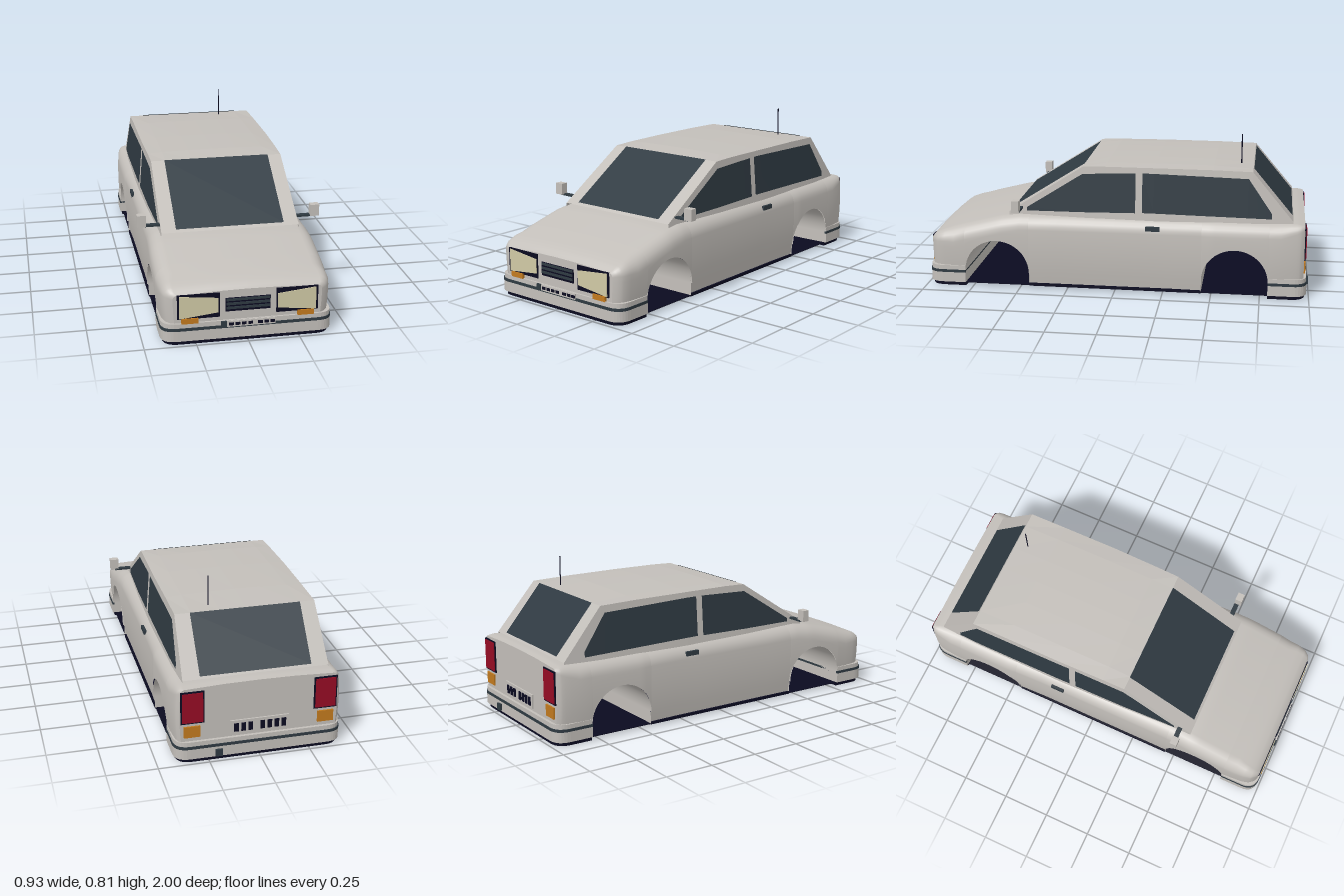
import * as THREE from 'three';

const material = (name, color, side = THREE.FrontSide) => {
  const m = new THREE.MeshStandardMaterial({ color, side });
  m.name = name;
  return m;
};

// Linear look-up in a short table of [z, value], z descending
function lookup(table, z) {
  if (z >= table[0][0]) return table[0][1];
  for (let i = 1; i < table.length; i++) {
    const [z0, a] = table[i - 1], [z1, b] = table[i];
    if (z >= z1) return a + (b - a) * (z0 - z) / (z0 - z1);
  }
  return table[table.length - 1][1];
}

// Skin over a list of equal-length cross-sections
function loft(sections, flat = false) {
  const n = sections[0].length, index = [];
  for (let i = 0; i < sections.length - 1; i++) {
    for (let j = 0; j < n - 1; j++) {
      const a = i * n + j, c = a + n;
      index.push(a, a + 1, c, a + 1, c + 1, c);
    }
  }
  let g = new THREE.BufferGeometry();
  g.setAttribute('position', new THREE.Float32BufferAttribute(sections.flat(2), 3));
  g.setIndex(index);
  if (flat) g = g.toNonIndexed();
  g.computeVertexNormals();
  return g;
}

const mirrored = half => [...half.map(([x, y, z]) => [-x, y, z]),
  ...half.slice(0, -1).reverse()];

// Body tables: half width, top height, shoulder radius
const WIDTH = [[0.975, 0.36], [0.965, 0.38], [0.94, 0.4], [0.9, 0.41], [0.8, 0.417], [0.6, 0.418], [0.42, 0.411],
  [-0.4, 0.411], [-0.5, 0.42], [-0.85, 0.418], [-0.93, 0.41], [-0.955, 0.403], [-0.97, 0.39]];
const HEIGHT = [[0.975, 0.262], [0.965, 0.275], [0.94, 0.292], [0.9, 0.308], [0.8, 0.337], [0.6, 0.388],
  [0.5, 0.402], [-0.93, 0.402], [-0.97, 0.395]];
const SHOULDER = [[0.975, 0.02], [0.94, 0.045], [0.85, 0.075], [0.5, 0.075], [-0.85, 0.07], [-0.93, 0.045], [-0.97, 0.02]];
const ARCH_Z = 0.62, ARCH_Y = 0.085, ARCH_R = 0.17;

function bodySection([z, bottom]) {
  const w = lookup(WIDTH, z), h = lookup(HEIGHT, z), r = lookup(SHOULDER, z);
  const s = h - r - 0.01, half = [];
  const bulge = y => w - 0.4 * (y - 0.24) ** 2;
  for (let i = 0; i <= 5; i++) {
    const y = bottom + (s - bottom) * i / 5;
    half.push([bulge(y), y, z]);
  }
  for (let i = 1; i <= 6; i++) {
    const a = i / 6 * Math.PI / 2;
    half.push([bulge(s) - r + r * Math.cos(a), s + r * Math.sin(a), z]);
  }
  half.push([w * 0.45, h - 0.002, z], [0, h, z]);
  return mirrored(half);
}

// Cabin side: leans inward with height and narrows to the ends
const CABIN = [[0.56, 0.35], [0.17, 0.365], [-0.2, 0.372], [-0.7, 0.37], [-0.91, 0.36]];
const cabinX = (z, y) => lookup(CABIN, z) - 0.08 * (y - 0.4);

export function createModel() {
  const car = new THREE.Group();
  const paint = material('warm grey paint', 0xc3bfba, THREE.DoubleSide);
  const glass = material('dark slate', 0x2f3a42, THREE.DoubleSide);
  const navy = material('black navy', 0x0a0a20, THREE.DoubleSide);
  const cream = material('headlight cream', 0xd0c9a5);
  const orange = material('indicator orange', 0xc27a1e);
  const red = material('tail light red', 0x960c24);

  const add = (name, geometry, mat, parent = car) => {
    const mesh = new THREE.Mesh(geometry, mat);
    mesh.name = name;
    parent.add(mesh);
    return mesh;
  };
  const box = (name, mat, x0, x1, y0, y1, z0, z1) =>
    add(name, new THREE.BoxGeometry(x1 - x0, y1 - y0, z1 - z0), mat)
      .position.set((x0 + x1) / 2, (y0 + y1) / 2, (z0 + z1) / 2);

  // Body shell with wheel arches cut from its lower edge
  const archStations = zc => Array.from({ length: 21 }, (_, i) => {
    const a = i / 20 * Math.PI;
    return [zc + ARCH_R * Math.cos(a), ARCH_Y + ARCH_R * Math.sin(a)];
  });
  const stations = [
    ...[0.975, 0.965, 0.95, 0.94, 0.92, 0.9, 0.85, 0.7901].map(z => [z, 0.1]),
    ...archStations(ARCH_Z),
    ...[0.4499, 0.3, 0.15, 0, -0.15, -0.3, -0.4499].map(z => [z, 0.025]),
    ...archStations(-ARCH_Z),
    ...[-0.7901, -0.85, -0.9, -0.93, -0.945, -0.955, -0.97].map(z => [z, 0.1]),
  ];
  const sections = stations.map(bodySection);
  add('bodyShell', loft(sections), paint);
  for (const [name, s] of [['nosePanel', sections[0]], ['tailPanel', sections.at(-1)]]) {
    const shape = new THREE.Shape(s.map(([x, y]) => new THREE.Vector2(x, y)));
    const g = new THREE.ShapeGeometry(shape);
    if (name === 'tailPanel') g.rotateY(Math.PI);
    add(name, g, paint).position.z = s[0][2];
  }

  // Wheel wells, floor and sills
  for (const zc of [ARCH_Z, -ARCH_Z]) {
    const well = new THREE.CylinderGeometry(ARCH_R, ARCH_R, 0.826, 24, 1, true, 0, Math.PI);
    add('wheelWell', well.rotateZ(Math.PI / 2), paint).position.set(0, ARCH_Y, zc);
    for (const e of [-1, 1]) {
      add('wheelWellWall', new THREE.PlaneGeometry(0.81, ARCH_Y - 0.02), paint)
        .position.set(0, (ARCH_Y + 0.02) / 2, zc + e * ARCH_R);
    }
  }
  box('floor', navy, -0.4, 0.4, 0.014, 0.018, -0.82, 0.82);
  box('sill', navy, -0.404, 0.404, 0.013, 0.027, -0.449, 0.449);

  // Bumpers: stacked slabs with rounded outer corners
  const slab = (w, end, y0, y1) => {
    const s = new THREE.Shape(), r = 0.075;
    s.moveTo(-w, 0.79).lineTo(w, 0.79).lineTo(w, end - r);
    s.quadraticCurveTo(w, end, w - r, end).lineTo(r - w, end);
    s.quadraticCurveTo(-w, end, -w, end - r);
    return new THREE.ExtrudeGeometry(s, { depth: y1 - y0, bevelEnabled: false, curveSegments: 8 })
      .rotateX(-Math.PI / 2).translate(0, y0, 0);
  };
  for (const name of ['rearBumper', 'frontBumper']) {
    const bumper = new THREE.Group();
    bumper.name = name;
    add('bumperLip', slab(0.405, 0.978, 0, 0.02), navy, bumper);
    add('bumperBase', slab(0.416, 0.988, 0.02, 0.073), paint, bumper);
    add('bumperStripe', slab(0.417, 0.989, 0.073, 0.087), glass, bumper);
    add('bumperTop', slab(0.414, 0.985, 0.087, 0.11), paint, bumper);
    if (name === 'frontBumper') bumper.rotation.y = Math.PI;
    car.add(bumper);
  }

  // Cabin with a crowned roof
  const roof = [[0.56, 0.4, 0], [0.17, 0.65, 0], [0.05, 0.654, 0.7], [-0.2, 0.655, 1],
    [-0.5, 0.654, 0.8], [-0.7, 0.65, 0], [-0.91, 0.4, 0]];
  add('cabin', loft(roof.map(([z, y, c]) => mirrored([
    [cabinX(z, 0.37), 0.37, z], [cabinX(z, y), y, z],
    [0.27, y + 0.007 * c, z], [0.13, y + 0.011 * c, z], [0, y + 0.012 * c, z],
  ])), true), paint);

  // Windscreen and rear window
  const pane = (y0, z0, y1, z1) => loft([
    [[-0.275, y0, z0], [0.275, y0, z0]], [[-0.275, y1, z1], [0.275, y1, z1]]]);
  add('windscreen', pane(0.412, 0.547, 0.652, 0.17), glass);
  add('rearWindow', pane(0.652, -0.704, 0.412, -0.905), glass);

  // Side windows as strips of [z, bottom, top]
  const frontPane = [[0.465, 0.41, 0.427], [0.17, 0.414, 0.614], [-0.105, 0.42, 0.626]];
  const rearPane = [[-0.14, 0.422, 0.627], [-0.2, 0.422, 0.627], [-0.68, 0.415, 0.615], [-0.8, 0.412, 0.44]];
  for (const side of [1, -1]) {
    const label = side > 0 ? 'left' : 'right';
    const strip = rows => loft(rows.map(([z, a, b]) =>
      [a, b].map(y => [side * (cabinX(z, y) + 0.004), y, z])));
    add(label + 'FrontWindow', strip(frontPane), glass);
    add(label + 'RearWindow', strip(rearPane), glass);

    // Mirror, door handle
    const bar = (name, mat, x0, x1, ...rest) =>
      box(label + name, mat, Math.min(side * x0, side * x1), Math.max(side * x0, side * x1), ...rest);
    bar('MirrorArm', glass, 0.345, 0.44, 0.42, 0.43, 0.485, 0.51);
    bar('Mirror', paint, 0.42, 0.465, 0.425, 0.485, 0.485, 0.522);
    bar('DoorHandle', glass, 0.4, 0.414, 0.337, 0.36, -0.235, -0.162);

    // Headlight: dark frame and a tapering lens
    bar('HeadlightFrame', navy, 0.137, 0.34, 0.13, 0.254, 0.972, 0.98);
    const lens = new THREE.Shape([[0.143, 0.155], [0.33, 0.134], [0.33, 0.248], [0.143, 0.228]]
      .map(([x, y]) => new THREE.Vector2(side * x, y)));
    add(label + 'HeadlightLens', new THREE.ExtrudeGeometry(lens, { depth: 0.006, bevelEnabled: false }), cream)
      .position.z = 0.978;
    bar('FrontIndicator', orange, 0.24, 0.32, 0.108, 0.134, 0.975, 0.987);

    // Tail lights
    bar('TailLightFrame', navy, 0.27, 0.385, 0.205, 0.372, -0.976, -0.968);
    bar('TailLight', red, 0.277, 0.378, 0.212, 0.365, -0.98, -0.972);
    bar('RearIndicator', orange, 0.29, 0.37, 0.132, 0.19, -0.978, -0.968);
  }

  // Grille with bars
  box('grille', navy, -0.108, 0.108, 0.154, 0.222, 0.972, 0.98);
  for (let i = 0; i < 3; i++) {
    const y = 0.166 + i * 0.021;
    box('grilleBar', glass, -0.105, 0.105, y, y + 0.012, 0.976, 0.984);
  }

  // Plates with plain dark blocks
  box('frontPlate', paint, -0.105, 0.13, 0.079, 0.109, 0.985, 0.992);
  for (const x of [-0.083, -0.052, -0.021, 0.01, 0.057, 0.088, 0.117]) {
    box('frontPlateBlock', navy, x - 0.011, x + 0.011, 0.087, 0.101, 0.988, 0.995);
  }
  box('rearPlate', paint, -0.145, 0.145, 0.122, 0.195, -0.978, -0.97);
  for (const x of [0.115, 0.08, 0.045, -0.015, -0.05, -0.085, -0.12]) {
    box('rearPlateBlock', navy, x - 0.011, x + 0.011, 0.137, 0.18, -0.982, -0.975);
  }

  // Towing covers and aerial
  box('frontTowCover', glass, -0.132, -0.105, 0.08, 0.109, 0.98, 0.996);
  box('rearTowCover', glass, 0.185, 0.22, 0.025, 0.06, -1, -0.98);
  add('aerial', new THREE.CylinderGeometry(0.003, 0.003, 0.155, 6), navy).position.set(0.168, 0.728, -0.636);

  return car;
}
